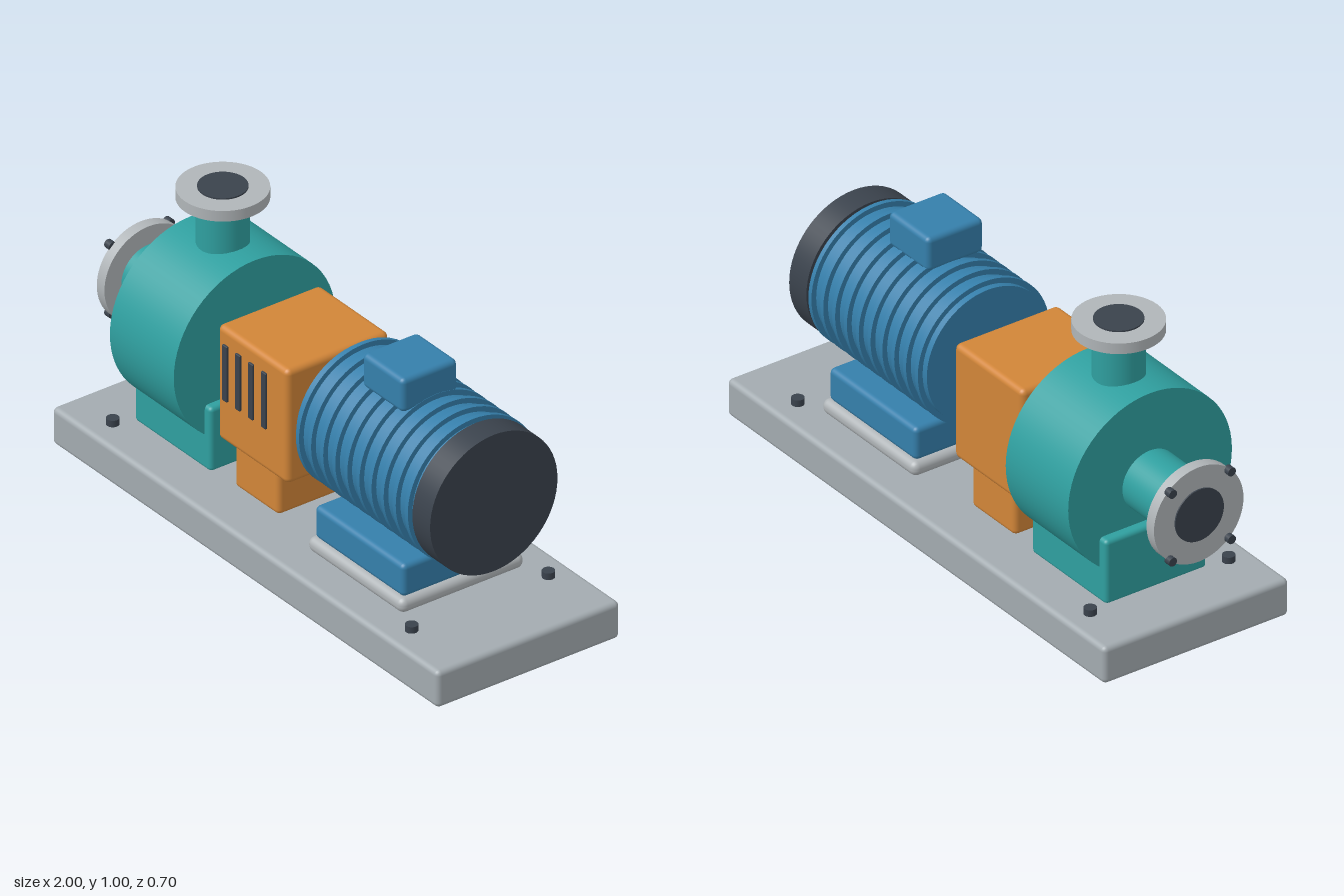
import * as THREE from 'three';
import { RoundedBoxGeometry } from 'three/addons/geometries/RoundedBoxGeometry.js';

const mat = (name, color) => {
  const m = new THREE.MeshStandardMaterial({ color });
  m.name = name;
  return m;
};

export function createModel() {
  const root = new THREE.Group();
  root.name = 'motorPump';

  const baseGray = mat('base gray', 0xa3abb0);
  const steel = mat('light steel', 0xb0b5b8);
  const teal = mat('teal', 0x2f9f9f);
  const blue = mat('blue', 0x357fab);
  const orange = mat('orange', 0xd18538);
  const dark = mat('dark slate', 0x3a424c);

  const add = (name, geometry, material) => {
    const mesh = new THREE.Mesh(geometry, material);
    mesh.name = name;
    root.add(mesh);
    return mesh;
  };
  // Rounded box given by its lower and upper limits
  const box = (name, material, [x0, x1], [y0, y1], [z0, z1], r) =>
    add(name, new RoundedBoxGeometry(x1 - x0, y1 - y0, z1 - z0, 3, r), material)
      .position.set((x0 + x1) / 2, (y0 + y1) / 2, (z0 + z1) / 2);
  // Cylinder lying along x
  const cylX = (name, material, x0, x1, y, r, z = 0, sides = 64) => {
    const g = new THREE.CylinderGeometry(r, r, x1 - x0, sides).rotateZ(Math.PI / 2);
    add(name, g, material).position.set((x0 + x1) / 2, y, z);
  };
  // Upright cylinder
  const cylY = (name, material, y0, y1, x, r, z = 0, sides = 48) =>
    add(name, new THREE.CylinderGeometry(r, r, y1 - y0, sides), material)
      .position.set(x, (y0 + y1) / 2, z);

  // Base plate and anchor bolts
  box('basePlate', baseGray, [-0.97, 1], [0, 0.132], [-0.352, 0.352], 0.018);
  for (const x of [-0.775, 0.75])
    for (const z of [-0.263, 0.263]) cylY('anchorBolt', dark, 0.125, 0.155, x, 0.021, z, 16);

  // Pump casing on its pedestal
  const pumpY = 0.495;
  const pumpX = -0.5625;
  box('pumpPedestal', teal, [-0.76, -0.37], [0.125, 0.355], [-0.192, 0.192], 0.015);
  cylX('pumpCasing', teal, -0.726, -0.4, pumpY, 0.311);

  // Suction pipe, flange, bore and flange bolts
  cylX('suctionPipe', teal, -0.95, -0.72, pumpY, 0.105);
  cylX('suctionFlange', steel, -0.98, -0.941, pumpY, 0.17);
  cylX('suctionBore', dark, -0.985, -0.979, pumpY, 0.092);
  for (const dy of [-0.122, 0.122])
    for (const z of [-0.112, 0.112]) cylX('flangeBolt', dark, -1, -0.975, pumpY + dy, 0.015, z, 16);

  // Discharge pipe, flange and bore
  cylY('dischargePipe', teal, 0.72, 0.96, pumpX, 0.084);
  cylY('dischargeFlange', steel, 0.955, 0.993, pumpX, 0.146);
  cylY('dischargeBore', dark, 0.992, 0.998, pumpX, 0.079);

  // Coupling guard with foot and vent slots
  box('couplingGuard', orange, [-0.33, 0.028], [0.275, 0.685], [-0.197, 0.197], 0.02);
  box('guardFoot', orange, [-0.267, -0.04], [0.125, 0.29], [-0.18, 0.18], 0.018);
  for (let i = 0; i < 4; i++) {
    const x = -0.284 + i * 0.066;
    box('ventSlot', dark, [x - 0.012, x + 0.012], [0.43, 0.63], [0.196, 0.205], 0.003);
  }

  // Motor body with cooling fins and end cap
  const motorY = 0.527;
  cylX('motorBody', blue, 0.12, 0.735, motorY, 0.232);
  const fins = 10;
  for (let i = 0; i < fins; i++) {
    const x = 0.15 + (i * 0.555) / (fins - 1);
    cylX('coolingFin', blue, x - 0.008, x + 0.008, motorY, 0.25);
  }
  cylX('fanCover', dark, 0.73, 0.82, motorY, 0.245);

  // Motor foot, pad and terminal box
  box('motorPad', steel, [0.178, 0.667], [0.132, 0.184], [-0.238, 0.238], 0.024);
  box('motorFoot', blue, [0.195, 0.65], [0.18, 0.297], [-0.22, 0.22], 0.018);
  box('terminalBox', blue, [0.318, 0.527], [0.75, 0.871], [-0.084, 0.13], 0.018);

  return root;
}
